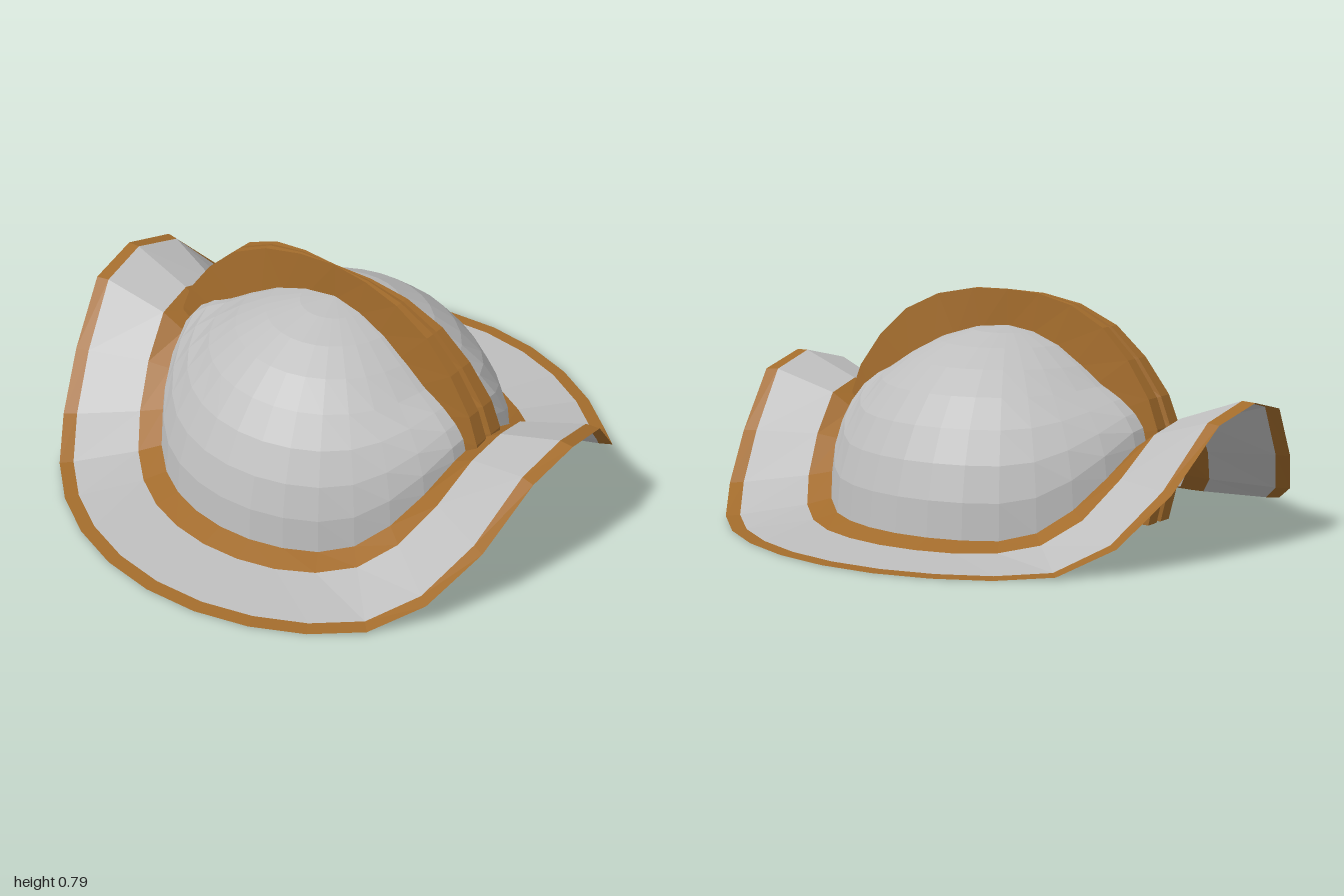
import * as THREE from 'three';

const SEGMENTS = 32;
const STEP = Math.PI * 2 / SEGMENTS;

// Rim heights from the raised front or back (first) to the low side (last)
const INNER = [0.345, 0.315, 0.225, 0.13, 0.06, 0.035, 0.033, 0.033, 0.033];
const MIDDLE = [0.405, 0.37, 0.24, 0.115, 0.04, 0.016, 0.01, 0.01, 0.01];
const OUTER = [0.488, 0.44, 0.24, 0.085, 0.008, 0, 0, 0, 0];

// Mirrors the quarter tables around the full circle
function heightAt(table, j) {
  const m = j % 16;
  return table[Math.min(m, 16 - m)];
}

// Faceted skin over a list of rows; each row is a closed loop of points
function skin(name, rows, material) {
  const positions = [];
  const n = rows[0].length;
  for (let i = 0; i + 1 < rows.length; i++) {
    for (let j = 0; j < n; j++) {
      const k = (j + 1) % n;
      const [a, b, c, d] = [rows[i][j], rows[i + 1][j], rows[i + 1][k], rows[i][k]];
      positions.push(...a, ...b, ...c, ...a, ...c, ...d);
    }
  }
  const geometry = new THREE.BufferGeometry();
  geometry.setAttribute('position', new THREE.Float32BufferAttribute(positions, 3));
  geometry.computeVertexNormals();
  const mesh = new THREE.Mesh(geometry, material);
  mesh.name = name;
  return mesh;
}

// Horizontal loop of a given radius with a height rule
function ring(radius, height) {
  return Array.from({ length: SEGMENTS }, (_, j) => [
    radius * Math.sin(j * STEP), height(j), radius * Math.cos(j * STEP),
  ]);
}

// Hemisphere whose lower part is lifted to follow the brim
function domeRows() {
  const rows = [];
  for (let i = 8; i >= 0; i--) {
    const e = i * STEP;
    const lift = Math.pow(Math.max(0, 1 - i / 4.45), 1.2);
    rows.push(ring(0.63 * Math.cos(e), j =>
      0.033 + 0.63 * Math.sin(e) + lift * (heightAt(INNER, j) - 0.033)));
  }
  return rows;
}

// Grooved comb, tapering to a thin edge at the crown
function combRows() {
  // z, y and depth of the outer edge, from the crown downward
  const half = [
    [0.145, 0.785, 0.15], [0.29, 0.757, 0.17], [0.43, 0.692, 0.19],
    [0.54, 0.592, 0.17], [0.63, 0.47, 0.12], [0.668, 0.372, 0.1], [0.672, 0.28, 0.09],
  ];
  const tail = [[-0.665, 0.16, 0.085], [-0.635, 0.04, 0.08]];
  const stations = [
    ...[...half].reverse(), [0, 0.79, 0.14],
    ...half.map(([z, y, t]) => [-z, y, t]), ...tail,
  ];
  const rows = stations.map(([z, y, t]) => {
    const direction = new THREE.Vector2(-z, Math.min(y, 0.2) - y).normalize();
    const w = Math.max(0.002, 0.068 * Math.min(1, Math.abs(z) / 0.67));
    const at = (x, depth) => [x, y + direction.y * depth, z + direction.x * depth];
    return [
      at(w, 0), at(w * 0.2, 0), at(0, t * 0.4), at(-w * 0.2, 0), at(-w, 0),
      at(-w, t), at(w, t),
    ];
  });
  // Close both ends
  const cap = row => {
    const centre = [0, row[5][1], row[5][2]];
    return row.map(() => centre);
  };
  return [cap(rows[0]), ...rows, cap(rows[rows.length - 1])];
}

export function createModel() {
  const steel = new THREE.MeshStandardMaterial({ color: 0xbebebe, side: THREE.DoubleSide, flatShading: true });
  steel.name = 'steel grey';
  const bronze = new THREE.MeshStandardMaterial({ color: 0xa36c2c, side: THREE.DoubleSide, flatShading: true });
  bronze.name = 'bronze brown';

  const inner = ring(0.63, j => heightAt(INNER, j));
  const middle = ring(0.715, j => heightAt(MIDDLE, j));
  const border = ring(0.95, j => heightAt(OUTER, j) + 0.002);
  const edge = ring(1, j => heightAt(OUTER, j));

  const helmet = new THREE.Group();
  helmet.name = 'crestedHelmet';
  helmet.add(
    skin('dome', domeRows(), steel),
    skin('innerBrimBand', [inner, middle], bronze),
    skin('brim', [middle, border], steel),
    skin('outerBrimBand', [border, edge], bronze),
    skin('comb', combRows(), bronze),
  );
  return helmet;
}
